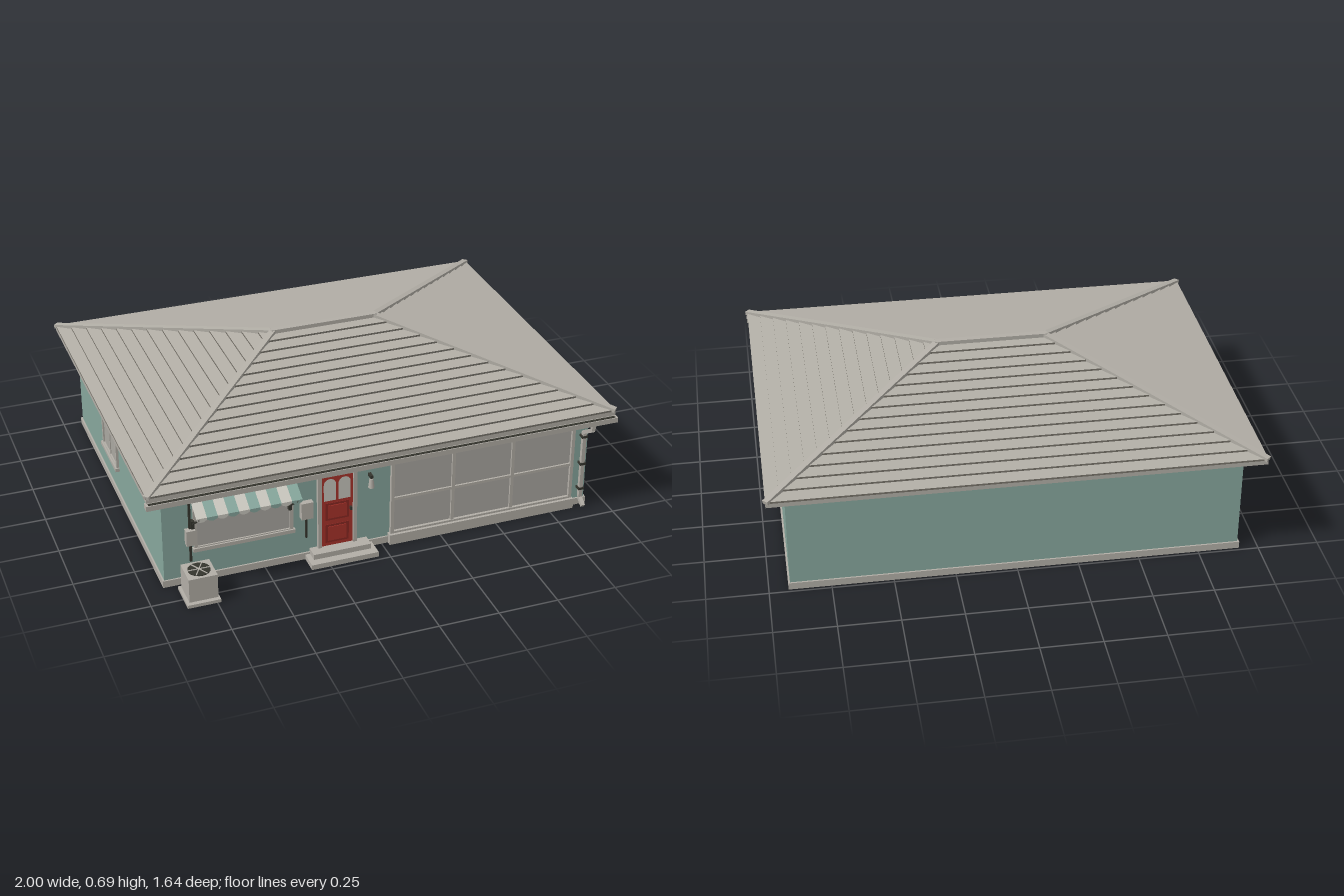
import * as THREE from 'three';

const flat = (name, color, side = THREE.FrontSide) => {
  const m = new THREE.MeshStandardMaterial({ color, side });
  m.name = name;
  return m;
};

export function createModel() {
  const house = new THREE.Group();
  house.name = 'house';
  const teal = flat('teal wall', 0x86a69c, THREE.DoubleSide);
  const grey = flat('warm grey', 0xb2aea6);
  const glass = flat('grey glass', 0xaaa7a1);
  const shade = flat('tile edge', 0x77736a);
  const dark = flat('dark metal', 0x34342d);
  const red = flat('red door', 0xa8322a);
  const deepRed = flat('deep red', 0x8a2822);
  const pale = flat('pale stripe', 0xc9c7be, THREE.DoubleSide);

  const add = (name, geo, mat, parent = house) => {
    const mesh = new THREE.Mesh(geo, mat);
    mesh.name = name;
    parent.add(mesh);
    return mesh;
  };
  // Box given by its bounds
  const box = (name, mat, x0, x1, y0, y1, z0, z1, parent = house) => {
    const m = add(name, new THREE.BoxGeometry(x1 - x0, y1 - y0, z1 - z0), mat, parent);
    m.position.set((x0 + x1) / 2, (y0 + y1) / 2, (z0 + z1) / 2);
    return m;
  };
  // Square bar between two points
  const beam = (name, mat, p, q, w, h) => {
    const a = new THREE.Vector3(...p), b = new THREE.Vector3(...q);
    const m = add(name, new THREE.BoxGeometry(w, h, a.distanceTo(b)), mat);
    m.position.copy(a).add(b).multiplyScalar(0.5);
    m.lookAt(b);
    return m;
  };
  // Rectangular frame made of four bars in the xy plane
  const frame = (name, mat, x0, x1, y0, y1, t, z0, z1, parent = house) => {
    const g = new THREE.Group();
    g.name = name;
    parent.add(g);
    box('sideBar', mat, x0, x0 + t, y0, y1, z0, z1, g);
    box('sideBar', mat, x1 - t, x1, y0, y1, z0, z1, g);
    box('bottomBar', mat, x0 + t, x1 - t, y0, y0 + t, z0, z1, g);
    box('topBar', mat, x0 + t, x1 - t, y1 - t, y1, z0, z1, g);
    return g;
  };
  // Rings of four quads between inset rectangles [halfX, halfZ, y]
  const CZ = -0.045;
  const rings = (name, mat, pairs) => {
    const pos = [];
    const corner = ([hx, hz, y], i) => [[-hx, y, CZ + hz], [hx, y, CZ + hz], [hx, y, CZ - hz], [-hx, y, CZ - hz]][i % 4];
    for (const [a, b] of pairs) for (let i = 0; i < 4; i++) {
      const q = [corner(a, i), corner(a, i + 1), corner(b, i + 1), corner(b, i)];
      for (const k of [0, 1, 2, 0, 2, 3]) pos.push(...q[k]);
    }
    const geo = new THREE.BufferGeometry();
    geo.setAttribute('position', new THREE.Float32BufferAttribute(pos, 3));
    geo.computeVertexNormals();
    return add(name, geo, mat);
  };

  // Walls, open underneath, with a plinth
  rings('walls', teal, [[[0.915, 0.685, 0], [0.915, 0.685, 0.452]]]);
  box('plinthBack', grey, -0.922, 0.922, 0, 0.03, -0.737, -0.728);
  for (const s of [-1, 1]) box('plinthSide', grey, s * 0.918 - 0.004, s * 0.918 + 0.004, 0, 0.03, -0.73, 0.645);
  box('plinthFront', grey, -0.922, 0.03, 0, 0.03, 0.636, 0.647);
  box('plinthFront', grey, 0.85, 0.922, 0, 0.03, 0.636, 0.647);

  // Hipped roof in stepped courses
  const N = 14, D = 0.765, rise = 0.207, lip = 0.008, y0 = 0.468;
  const at = (i, dy) => [0.99 - D * i / N, D - D * i / N, y0 + rise * i / N + dy];
  const steps = [...Array(N).keys()];
  rings('tileCourses', grey, steps.map(i => [at(i, lip), at(i + 1, 0)]));
  rings('tileEdges', shade, steps.map(i => [at(i, 0), at(i, lip)]));
  box('eaves', grey, -0.99, 0.99, 0.45, y0, CZ - D, CZ + D);
  for (const sx of [-1, 1]) for (const sz of [-1, 1])
    beam('hipCap', grey, [sx * 0.99, 0.474, CZ + sz * D], [sx * 0.225, 0.681, CZ], 0.026, 0.016);
  box('ridgeCap', grey, -0.235, 0.235, 0.67, 0.69, CZ - 0.013, CZ + 0.013);

  // Gutter and downpipe
  box('gutter', grey, -0.995, 0.995, 0.425, 0.447, 0.708, 0.738);
  box('gutterInside', dark, -0.985, 0.985, 0.446, 0.449, 0.722, 0.734);
  const pipe = [[0.89, 0.43, 0.725], [0.89, 0.40, 0.725], [0.89, 0.355, 0.655], [0.89, 0.04, 0.655], [0.89, 0.015, 0.69]];
  for (let i = 0; i < 4; i++) beam('downpipe', grey, pipe[i], pipe[i + 1], 0.016, 0.016);
  for (const y of [0.08, 0.2, 0.33]) box('pipeClip', dark, 0.877, 0.903, y, y + 0.01, 0.64, 0.666);

  // Windows, built facing front and then turned
  const makeWindow = (name, w, h, panes) => {
    const g = new THREE.Group();
    g.name = name;
    box('pane', glass, -w / 2, w / 2, -h / 2, h / 2, -0.004, 0.004, g);
    frame('casing', grey, -w / 2, w / 2, -h / 2, h / 2, 0.014, -0.006, 0.011, g);
    for (let i = 1; i < panes; i++) {
      const x = -w / 2 + w * i / panes;
      box('mullion', grey, x - 0.004, x + 0.004, -h / 2, h / 2, -0.005, 0.008, g);
    }
    box('sill', grey, -w / 2 - 0.006, w / 2 + 0.006, -h / 2 - 0.006, -h / 2 + 0.01, -0.006, 0.018, g);
    house.add(g);
    return g;
  };
  makeWindow('frontWindow', 0.41, 0.2, 1).position.set(-0.585, 0.25, 0.64);
  const leftWindow = makeWindow('leftWindow', 0.24, 0.2, 2);
  leftWindow.position.set(0.915, 0.25, 0.23);
  leftWindow.rotation.y = Math.PI / 2;
  const rightWindow = makeWindow('rightWindow', 0.24, 0.2, 2);
  rightWindow.position.set(-0.915, 0.25, -0.16);
  rightWindow.rotation.y = -Math.PI / 2;

  // Striped awning with a rounded valance
  const S = 10, ax = -0.805, aw = 0.43 / S;
  for (let i = 0; i < S; i++) {
    const mat = i % 2 ? teal : pale;
    const cloth = add('awningStripe', new THREE.PlaneGeometry(aw, Math.hypot(0.1, 0.052)), mat);
    cloth.position.set(ax + aw * (i + 0.5), 0.381, 0.7);
    cloth.rotation.x = -Math.atan2(0.1, 0.052);
    const flap = new THREE.Shape();
    flap.moveTo(-aw / 2, 0.008);
    flap.lineTo(-aw / 2, 0);
    flap.quadraticCurveTo(0, -0.02, aw / 2, 0);
    flap.lineTo(aw / 2, 0.008);
    add('awningValance', new THREE.ShapeGeometry(flap), mat).position.set(ax + aw * (i + 0.5), 0.348, 0.75);
  }
  box('awningRoller', grey, -0.81, -0.37, 0.403, 0.417, 0.64, 0.66);
  for (const x of [-0.795, -0.395]) {
    beam('awningArm', dark, [x, 0.275, 0.655], [x, 0.35, 0.75], 0.006, 0.006);
    box('armBracket', dark, x - 0.007, x + 0.007, 0.255, 0.29, 0.64, 0.66);
  }

  // Front door with arched lights and sunk panels
  box('door', red, -0.262, -0.128, 0.045, 0.385, 0.63, 0.648);
  for (const s of [-1, 1]) {
    const arch = new THREE.Shape();
    arch.moveTo(-0.026, -0.05);
    arch.lineTo(0.026, -0.05);
    arch.lineTo(0.026, 0.025);
    arch.absarc(0, 0.025, 0.026, 0, Math.PI);
    add('doorLight', new THREE.ShapeGeometry(arch), pale).position.set(-0.195 + s * 0.031, 0.307, 0.65);
  }
  for (const [a, b] of [[0.06, 0.145], [0.165, 0.245]]) {
    box('doorPanel', deepRed, -0.245, -0.145, a, b, 0.645, 0.65);
    box('doorPanelField', red, -0.235, -0.155, a + 0.01, b - 0.01, 0.645, 0.653);
  }
  box('doorKnob', dark, -0.142, -0.134, 0.2, 0.215, 0.645, 0.66);
  for (const x of [-0.278, -0.128]) box('doorJamb', grey, x, x + 0.016, 0.045, 0.385, 0.635, 0.657);
  box('doorLintel', grey, -0.284, -0.106, 0.378, 0.4, 0.635, 0.66);
  box('doorCornice', grey, -0.29, -0.1, 0.4, 0.41, 0.635, 0.668);
  box('lowerStep', grey, -0.33, -0.045, 0, 0.022, 0.64, 0.73);
  box('upperStep', grey, -0.31, -0.065, 0.022, 0.045, 0.64, 0.695);

  // Garage door in two rows of three panels, with a dark room behind
  box('garageDoor', glass, 0.04, 0.845, 0.04, 0.4, 0.632, 0.644);
  frame('garageFrame', grey, 0.035, 0.85, 0.04, 0.405, 0.014, 0.636, 0.656);
  for (const x of [0.308, 0.572]) box('garagePost', grey, x - 0.007, x + 0.007, 0.05, 0.395, 0.64, 0.653);
  box('garageRail', grey, 0.045, 0.84, 0.2, 0.212, 0.64, 0.652);
  box('garageKerb', grey, 0.027, 0.855, 0, 0.045, 0.632, 0.668);
  box('garageRoom', [dark, dark, dark, grey, dark, dark], 0.035, 0.9, 0.002, 0.39, 0.27, 0.63);

  // Wall fittings: mailbox, lamp and meter
  box('mailbox', grey, -0.35, -0.3, 0.2, 0.275, 0.64, 0.665);
  box('mailboxPost', dark, -0.329, -0.321, 0.105, 0.2, 0.642, 0.652);
  box('lampBracket', dark, -0.061, -0.049, 0.335, 0.348, 0.64, 0.67);
  const lamp = add('lamp', new THREE.CylinderGeometry(0.008, 0.013, 0.04, 10), grey);
  lamp.position.set(-0.055, 0.312, 0.663);
  box('meterBox', grey, -0.825, -0.787, 0.185, 0.252, 0.64, 0.668);
  box('meterConduit', dark, -0.809, -0.8, 0.1, 0.42, 0.641, 0.65);

  // Air conditioner on its pad
  box('coolerPad', grey, -0.87, -0.735, 0, 0.014, 0.675, 0.815);
  box('coolerFoot', dark, -0.85, -0.75, 0.014, 0.02, 0.7, 0.795);
  box('coolerBody', grey, -0.86, -0.743, 0.02, 0.124, 0.69, 0.805);
  const fan = add('fanOpening', new THREE.CylinderGeometry(0.045, 0.045, 0.004, 24), dark);
  fan.position.set(-0.8015, 0.125, 0.7475);
  for (let i = 0; i < 3; i++) {
    const blade = add('fanGuard', new THREE.BoxGeometry(0.09, 0.003, 0.004), grey);
    blade.position.set(-0.8015, 0.128, 0.7475);
    blade.rotation.y = i * Math.PI / 3;
  }
  beam('coolantPipe', dark, [-0.8, 0.05, 0.64], [-0.8, 0.05, 0.695], 0.01, 0.01);

  return house;
}
